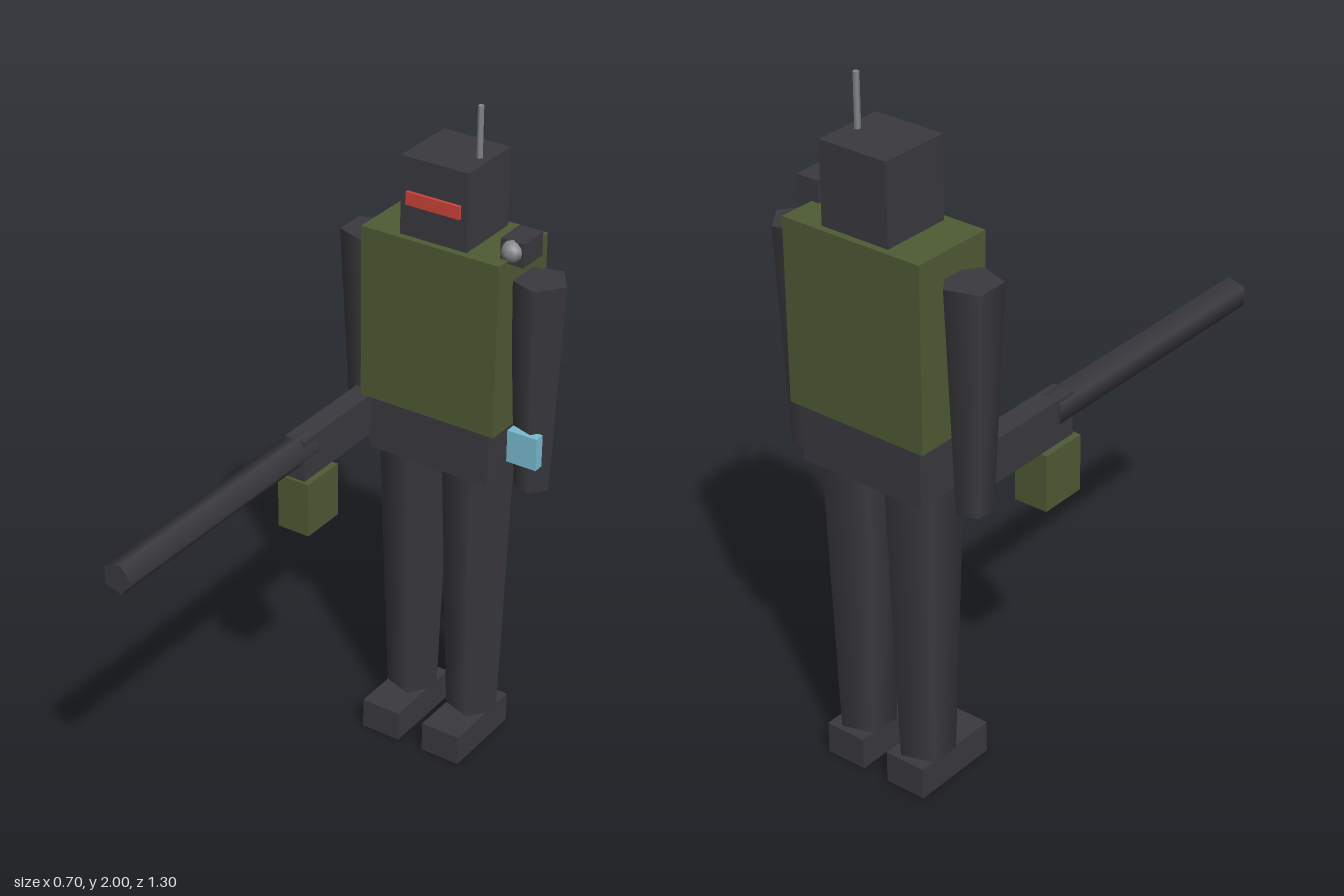
import * as THREE from 'three';

const material = (name, color) => {
  const m = new THREE.MeshStandardMaterial({ color });
  m.name = name;
  return m;
};

export function createModel() {
  const model = new THREE.Group();
  model.name = 'armedRobot';

  const charcoal = material('charcoal', 0x3a393e);
  const olive = material('olive', 0x4f5a34);
  const red = material('red', 0xcc4338);
  const blue = material('blue', 0x78bccf);
  const grey = material('grey', 0x85878b);

  const CX = -0.009, CZ = -0.527; // centre line of the body

  const add = (name, geometry, mat, x, y, z) => {
    const mesh = new THREE.Mesh(geometry, mat);
    mesh.name = name;
    mesh.position.set(x, y, z);
    model.add(mesh);
    return mesh;
  };

  // Box given by its extents
  const box = (name, mat, [x0, x1], [y0, y1], [z0, z1]) =>
    add(name, new THREE.BoxGeometry(x1 - x0, y1 - y0, z1 - z0), mat,
      (x0 + x1) / 2, (y0 + y1) / 2, (z0 + z1) / 2);

  // Five-sided tapered limb with one corner pointing to +x
  const limb = (rTop, rBottom, length) =>
    new THREE.CylinderGeometry(rTop, rBottom, length, 5, 1, false, Math.PI / 2);

  // Body
  box('torso', olive, [-0.228, 0.21], [1.1, 1.622], [-0.652, -0.402]);
  box('pelvis', charcoal, [-0.205, 0.187], [0.93, 1.1], [-0.635, -0.417]);
  box('head', charcoal, [-0.115, 0.097], [1.622, 1.852], [-0.632, -0.422]);
  box('visor', red, [-0.093, 0.077], [1.717, 1.755], [-0.43, -0.412]);

  // Limbs and feet
  for (const [side, s] of [['right', -1], ['left', 1]]) {
    add(side + 'Arm', limb(0.081, 0.052, 0.64), charcoal, CX + s * 0.277, 1.23, CZ);
    const legX = CX + s * 0.105;
    add(side + 'Leg', limb(0.111, 0.08, 0.91), charcoal, legX, 0.545, CZ);
    box(side + 'Foot', charcoal, [legX - 0.063, legX + 0.063], [0, 0.095], [-0.617, -0.347]);
  }

  // Antenna
  add('antenna', limb(0.009, 0.009, 0.2), grey, 0.066, 1.9, -0.526);

  // Shoulder lamp
  box('lampHousing', charcoal, [0.187, 0.259], [1.613, 1.683], [-0.543, -0.446]);
  add('lampLens', new THREE.SphereGeometry(0.031, 8, 6), grey, 0.223, 1.654, -0.446);

  // Wrist screen
  box('wristScreen', blue, [0.222, 0.316], [1.005, 1.104], [-0.489, -0.457]);

  // Long gun held in the right hand
  box('gunBody', charcoal, [-0.293, -0.228], [0.947, 1.074], [-0.48, -0.128]);
  add('gunBarrel', limb(0.047, 0.047, 0.84).rotateX(Math.PI / 2), charcoal, -0.261, 1.034, 0.231);
  box('gunMagazine', olive, [-0.312, -0.209], [0.78, 0.947], [-0.262, -0.118]);

  return model;
}
